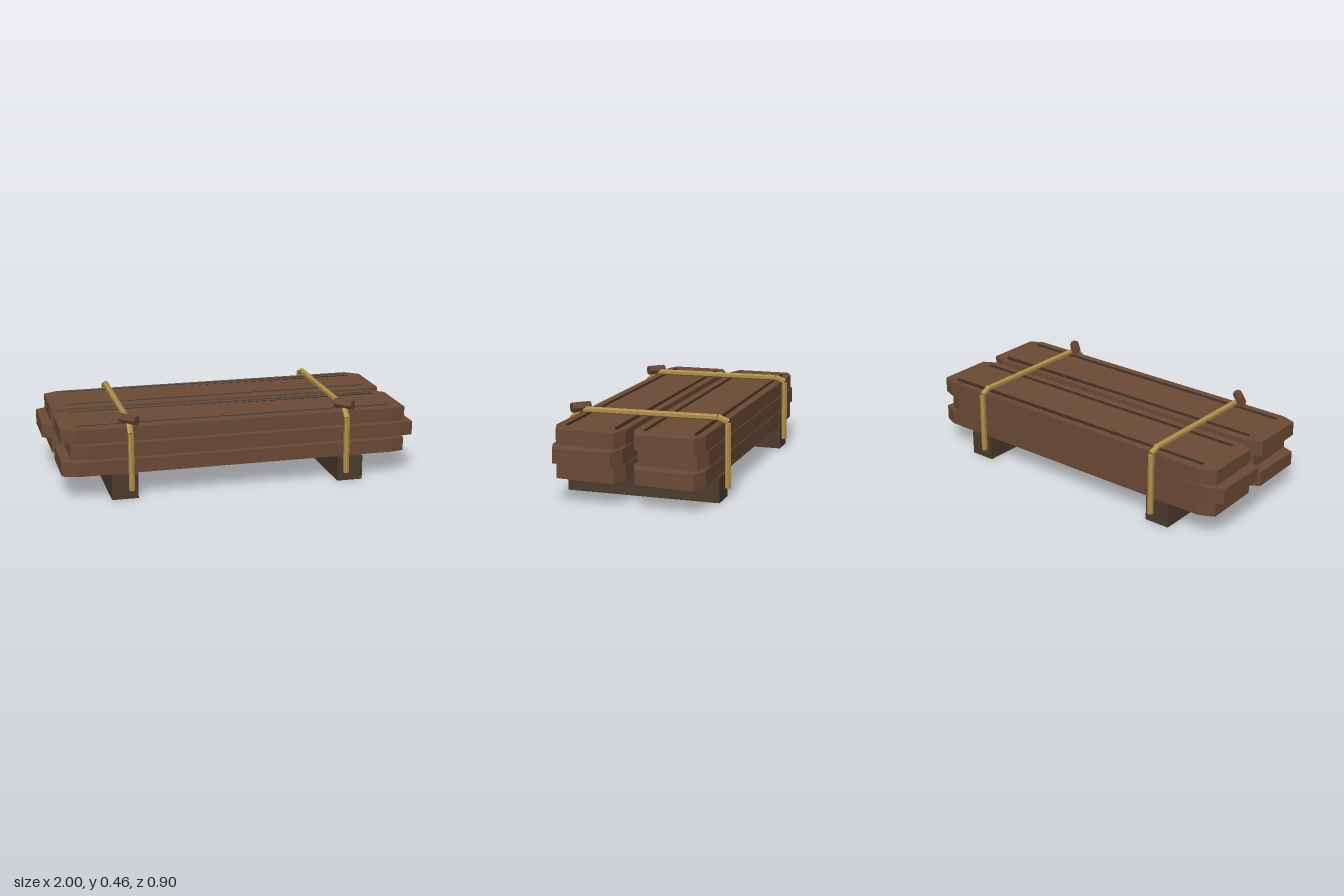
import * as THREE from 'three';

const mat = (name, color) => {
  const m = new THREE.MeshStandardMaterial({ color, flatShading: true });
  m.name = name;
  return m;
};

export function createModel() {
  const wood = mat('plank brown', 0x6b4a35);
  const groove = mat('dark grain', 0x3a281e);
  const beam = mat('bearer brown', 0x4a3a2c);
  const rope = mat('rope tan', 0xb08d4a);
  const peg = mat('peg brown', 0x684330);
  const model = new THREE.Group();
  model.name = 'plankStack';

  const add = (parent, name, geo, material, x = 0, y = 0, z = 0) => {
    const mesh = new THREE.Mesh(geo, material);
    mesh.name = name;
    mesh.position.set(x, y, z);
    parent.add(mesh);
    return mesh;
  };

  // Straight rod between two points
  const rod = (parent, name, a, b, radius, sides, material) => {
    const from = new THREE.Vector3(...a), to = new THREE.Vector3(...b);
    const dir = to.clone().sub(from);
    const mesh = add(parent, name, new THREE.CylinderGeometry(radius, radius, dir.length(), sides), material);
    mesh.position.copy(from).add(to).multiplyScalar(0.5);
    mesh.quaternion.setFromUnitVectors(new THREE.Vector3(0, 1, 0), dir.normalize());
  };

  // Plank with clipped corners, slightly warped
  const L = 0.95, W = 0.188, H = 0.084, clip = 0.08;
  const outline = new THREE.Shape([
    [-L, -W + 0.03], [-L + clip, -W], [L - clip, -W], [L, -W + 0.03],
    [L, W - 0.038], [L - clip, W], [-L + clip, W], [-L, W - 0.038],
  ].map(([x, y]) => new THREE.Vector2(x, y)));
  const plankGeo = new THREE.ExtrudeGeometry(outline, { depth: H, bevelEnabled: false });
  plankGeo.rotateX(-Math.PI / 2);
  const p = plankGeo.attributes.position;
  for (let i = 0; i < p.count; i++) {
    let y = p.getY(i);
    if (p.getX(i) > L - 0.01) y -= 0.006;
    if (y < H / 2 && p.getZ(i) > 0) y += 0.008;
    p.setY(i, y);
  }
  plankGeo.computeVertexNormals();

  // Two stacks of three planks, the middle ones shifted outward
  for (const [z, shift] of [[0.205, 0.05], [-0.214, -0.05]]) {
    for (let layer = 0; layer < 3; layer++) {
      const plank = new THREE.Group();
      plank.name = 'plank';
      plank.position.set(layer === 1 ? shift : 0, 0.129 + layer * 0.0885, z);
      add(plank, 'board', plankGeo, wood);
      for (const gz of [0.131, -0.134]) {
        rod(plank, 'grainLine', [-0.855, H - 0.001, gz], [0.865, H - 0.001, gz], 0.009, 6, groove);
      }
      model.add(plank);
    }
  }

  for (const side of [-1, 1]) {
    // Bearer under the stacks
    add(model, 'bearer', new THREE.BoxGeometry(0.142, 0.135, 0.83), beam, side * 0.625, 0.0675, -0.005);

    // Rope strap in straight lengths
    const x = side * 0.593;
    const strap = new THREE.Group();
    strap.name = 'ropeStrap';
    model.add(strap);
    const path = [
      [[x, 0.055, 0.435], [x, 0.362, 0.428]],
      [[x, 0.36, 0.429], [x, 0.412, 0.375]],
      [[x, 0.416, 0.38], [x, 0.421, -0.375]],
      [[x, 0.424, -0.377], [x, 0.4, -0.434]],
      [[x, 0.394, -0.432], [x, 0.055, -0.434]],
    ];
    for (const [a, b] of path) rod(strap, 'ropeLength', a, b, 0.0165, 6, rope);

    // Tightening peg
    rod(strap, 'tighteningPeg', [x - 0.037, 0.428, 0.338], [x + 0.037, 0.428, 0.412], 0.027, 8, peg);
  }
  return model;
}
